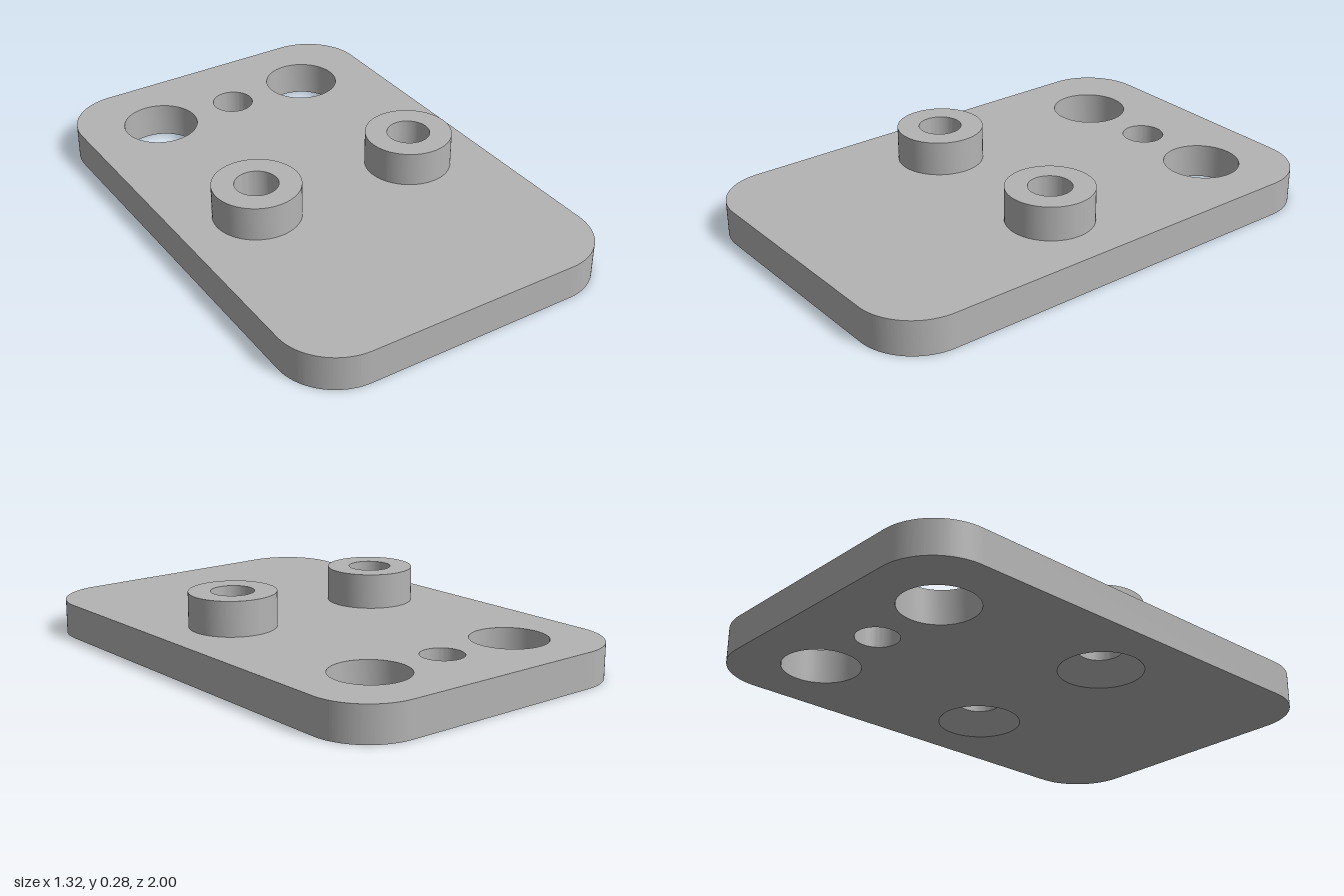
import * as THREE from 'three';
import { toCreasedNormals } from 'three/addons/utils/BufferGeometryUtils.js';

const WIDTH = 1.32, LENGTH = 2, THICK = 0.138, CORNER = 0.23;
const BOSS_X = 0.345, BOSS_Z = 0.106, BOSS_R = 0.17, BOSS_TOP = 0.275;
const BORE_R = 0.084, SINK_R = 0.165, SINK_DEPTH = 0.081;

// Rounded rectangle outline, drawn with shape y = -z
function plateOutline() {
  const x = WIDTH / 2 - CORNER, y = LENGTH / 2 - CORNER;
  const shape = new THREE.Shape();
  shape.absarc(x, y, CORNER, 0, Math.PI / 2);
  shape.absarc(-x, y, CORNER, Math.PI / 2, Math.PI);
  shape.absarc(-x, -y, CORNER, Math.PI, Math.PI * 1.5);
  shape.absarc(x, -y, CORNER, Math.PI * 1.5, Math.PI * 2);
  shape.closePath();
  return shape;
}

function addHole(shape, x, z, r) {
  const hole = new THREE.Path();
  hole.absarc(x, -z, r, 0, Math.PI * 2, true);
  shape.holes.push(hole);
}

export function createModel() {
  const group = new THREE.Group();
  group.name = 'mountingPlate';
  const grey = new THREE.MeshStandardMaterial({ color: 0xb4b4b4 });
  grey.name = 'grey';

  // Flat plate with three through holes and two seats for the bosses
  const shape = plateOutline();
  addHole(shape, 0, -0.685, 0.083);
  for (const side of [-1, 1]) {
    addHole(shape, side * 0.342, -0.685, 0.15);
    addHole(shape, side * BOSS_X, BOSS_Z, BOSS_R);
  }
  const plateGeometry = new THREE.ExtrudeGeometry(shape, {
    depth: THICK, bevelEnabled: false, curveSegments: 32,
  });
  plateGeometry.rotateX(-Math.PI / 2);
  const plate = new THREE.Mesh(toCreasedNormals(plateGeometry, 0.6), grey);
  plate.name = 'plate';
  group.add(plate);

  // Raised boss with a bore, countersunk from below
  const profile = [
    [SINK_R, 0], [BOSS_R, 0], [BOSS_R, BOSS_TOP], [BORE_R, BOSS_TOP],
    [BORE_R, SINK_DEPTH], [SINK_R, 0],
  ].map(([r, y]) => new THREE.Vector2(r, y));
  const bossGeometry = toCreasedNormals(new THREE.LatheGeometry(profile, 64), 0.6);
  for (const side of [-1, 1]) {
    const boss = new THREE.Mesh(bossGeometry, grey);
    boss.name = side > 0 ? 'leftBoss' : 'rightBoss';
    boss.position.set(side * BOSS_X, 0, BOSS_Z);
    group.add(boss);
  }
  return group;
}
